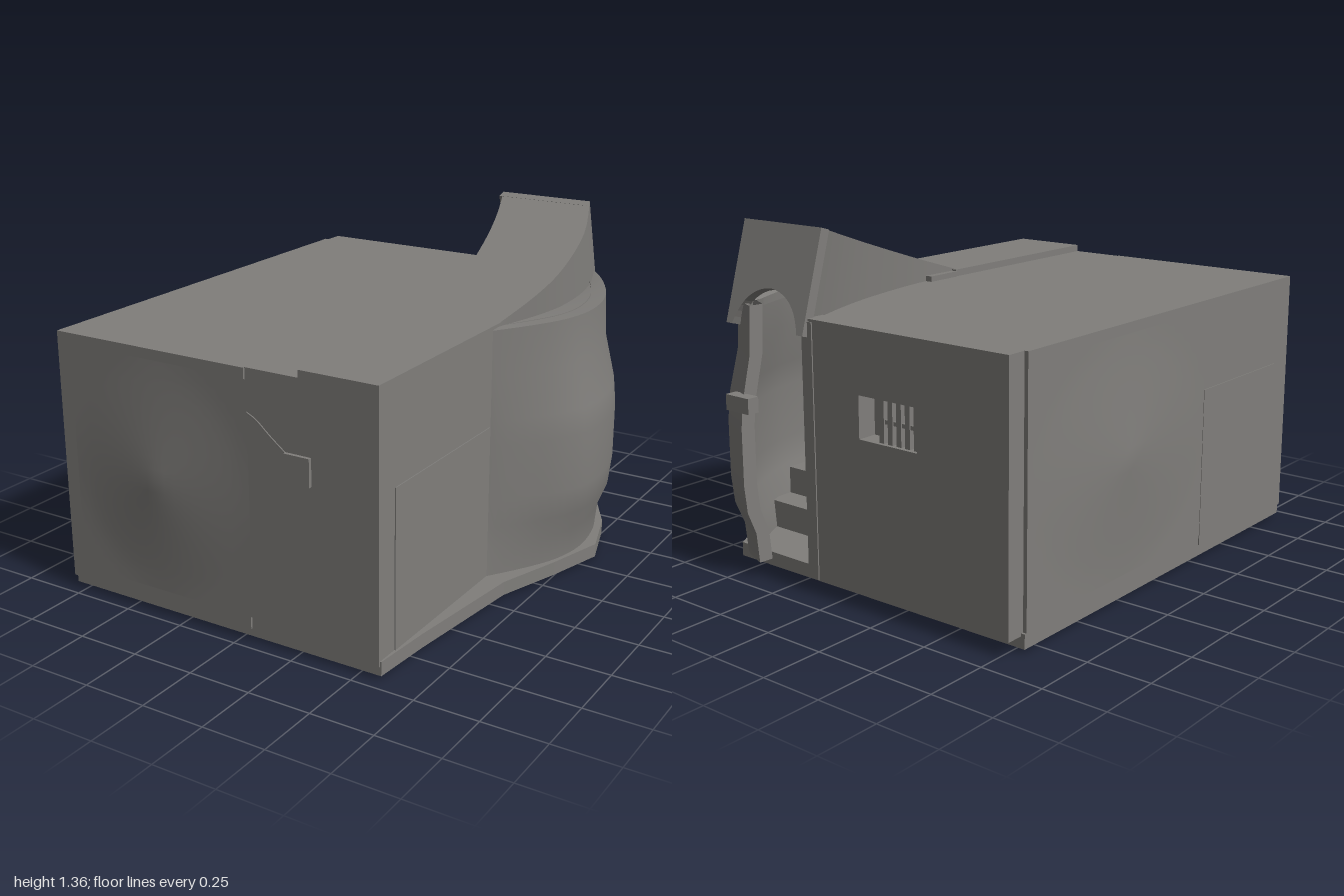
import * as THREE from 'three';

const grey = new THREE.MeshStandardMaterial({ color: 0x807e7b, side: THREE.DoubleSide });
grey.name = 'warm grey';

export function createModel() {
  const model = new THREE.Group();
  const add = (name, geometry) => {
    const mesh = new THREE.Mesh(geometry, grey);
    mesh.name = name;
    model.add(mesh);
    return mesh;
  };
  // Box given by its lower and upper limits
  const box = (name, x0, x1, y0, y1, z0, z1) => {
    const g = new THREE.BoxGeometry(x1 - x0, y1 - y0, z1 - z0);
    g.translate((x0 + x1) / 2, (y0 + y1) / 2, (z0 + z1) / 2);
    return add(name, g);
  };
  // Floor plan of [x, z] points raised from y0 to y1
  const plan = (name, points, y0, y1) => {
    const shape = new THREE.Shape(points.map(([x, z]) => new THREE.Vector2(x, -z)));
    const g = new THREE.ExtrudeGeometry(shape, { depth: y1 - y0, bevelEnabled: false });
    return add(name, g.rotateX(-Math.PI / 2).translate(0, y0, 0));
  };
  // Surface through rows of equally many points
  const loft = (name, rows) => {
    const n = rows[0].length, index = [];
    for (let r = 0; r < rows.length - 1; r++) {
      for (let c = 0; c < n - 1; c++) {
        const a = r * n + c, b = a + n;
        index.push(a, b, a + 1, b, b + 1, a + 1);
      }
    }
    const g = new THREE.BufferGeometry();
    g.setAttribute('position', new THREE.Float32BufferAttribute(rows.flat(2), 3));
    g.setIndex(index);
    g.computeVertexNormals();
    return add(name, g);
  };
  // Smooth x across the passage at each z
  const smooth = (pts) => new THREE.SplineCurve(pts.map(([x, z]) => new THREE.Vector2(x, z)));
  const leftEdge = smooth([[0.29, 0.1], [0.29, -0.12], [0.245, -0.4], [0.19, -0.62], [0.12, -0.82]]);
  const rightEdge = smooth([[0.585, 0.1], [0.63, -0.1], [0.645, -0.3], [0.61, -0.57], [0.52, -0.82]]);
  const STEPS = 16;

  // Main body, with its right rear cut back along the passage
  const cut = leftEdge.getPoints(STEPS).map((p) => [p.x, p.y]);
  plan('body', [[-0.8, 0.96], [0.05, 0.96], [0.05, 0.952], [0.585, 0.952], [0.585, 0.16],
    ...cut, [-0.8, -0.82]], 0.05, 1.04);
  box('roofStrip', 0.27, 0.585, 1.035, 1.068, 0.09, 0.952);
  box('roofTab', 0.265, 0.295, 1.035, 1.062, -0.07, 0.09);

  // Rear wall with vent opening
  const rear = new THREE.Shape();
  rear.moveTo(-0.785, 0.06).lineTo(0.13, 0.06).lineTo(0.13, 1.04).lineTo(-0.785, 1.04);
  const opening = new THREE.Path();
  opening.moveTo(-0.39, 0.64).lineTo(-0.39, 0.8).lineTo(-0.12, 0.8).lineTo(-0.12, 0.64);
  rear.holes.push(opening);
  add('rearWall', new THREE.ExtrudeGeometry(rear, { depth: 0.085, bevelEnabled: false }).translate(0, 0, -0.9));
  for (let i = 0; i < 5; i++) {
    const x = -0.385 + i * 0.04;
    box('ventBar', x, x + 0.022, 0.64, 0.8, -0.885, -0.86);
  }
  box('ventRail', -0.39, -0.2, 0.71, 0.725, -0.88, -0.865);
  box('rearPost', 0.1, 0.15, 0.06, 1.03, -0.905, -0.8);

  // Base slab
  plan('base', [[-0.8, 0.945], [0.59, 0.945], [0.61, 0.7], [0.67, 0.18], [0.76, -0.08], [0.83, -0.32],
    [0.76, -0.55], [0.6, -0.83], [-0.8, -0.83]], 0.015, 0.07);

  // Shallow bulges on the front, left side and underside
  const bulge = (name, w, h, height, power) => {
    const g = new THREE.PlaneGeometry(w, h, 20, 20);
    const p = g.attributes.position;
    for (let i = 0; i < p.count; i++) {
      const r = Math.hypot(p.getX(i) / w, p.getY(i) / h) * 2;
      p.setZ(i, height * Math.pow(Math.max(0, 1 - r), power));
    }
    g.computeVertexNormals();
    return add(name, g);
  };
  bulge('frontBulge', 0.8, 0.9, 0.031, 1.3).position.set(-0.34, 0.55, 0.961);
  const side = bulge('leftBulge', 1.1, 0.9, 0.03, 1.3);
  side.rotation.y = -Math.PI / 2;
  side.position.set(-0.802, 0.55, -0.25);
  const under = bulge('undersideBulge', 1.2, 1.5, 0.014, 1);
  under.rotation.x = Math.PI / 2;
  under.position.set(-0.15, 0.014, 0.05);

  // Door panels
  box('rightDoor', 0.583, 0.589, 0.07, 0.68, 0.17, 0.85);
  box('leftDoor', -0.804, -0.798, 0.06, 0.69, 0.29, 0.85);

  // Front control box and its cable
  box('controlBox', 0.213, 0.318, 0.66, 0.765, 0.95, 0.966);
  const cable = new THREE.CatmullRomCurve3([[0.05, 0.88], [0.09, 0.86], [0.15, 0.81], [0.215, 0.76]]
    .map(([x, y]) => new THREE.Vector3(x, y, 0.953)));
  add('cable', new THREE.TubeGeometry(cable, 12, 0.003, 6));

  // Bowed outer wall round the passage
  const path = smooth([[0.59, 0.17], [0.68, 0.03], [0.75, -0.11], [0.78, -0.26], [0.765, -0.42],
    [0.72, -0.56], [0.63, -0.73], [0.53, -0.86], [0.4, -0.92]]).getPoints(32);
  const profile = [[0.06, 0], [0.18, 0.012], [0.27, 0.048], [0.38, 0.06], [0.6, 0.06], [0.7, 0.05], [0.87, 0.01], [1.055, 0]];
  const wallPoint = (p, i, y, out) => {
    const dx = p.x - 0.36, dz = p.y + 0.35, len = Math.hypot(dx, dz);
    return [p.x + (dx / len) * out, y, p.y + (dz / len) * out];
  };
  const wallRows = (thickness) => path.map((p, i) => {
    const ease = Math.min(1, i / 10);
    return profile.map(([y, out]) => wallPoint(p, i, y, out * ease - thickness));
  });
  const outer = wallRows(0), inner = wallRows(0.06);
  loft('outerWall', outer);
  loft('outerWallLining', inner);
  loft('outerWallEnd', [outer[32], inner[32]]);
  loft('outerWallFoot', [outer.map((r) => r[0]), inner.map((r) => r[0])]);

  // Ledge between the outer wall and the hood
  const last = profile.length - 1;
  loft('ledge', [outer.map((r) => r[last]), outer.map((r, i) => {
    const q = rightEdge.getPoint(i / 32);
    return [q.x - 0.01, 1.055 - 0.02 * (i / 32), q.y];
  })]);

  // Rising curved hood, open underneath
  const top = [], left = [], right = [];
  for (let i = 0; i <= STEPS; i++) {
    const t = i / STEPS, l = leftEdge.getPoint(t), r = rightEdge.getPoint(t);
    const height = (z) => 1.07 + 0.285 * (0.1 - z) / 0.92;
    const drop = 0.11 * t, low = 1.04 - 0.06 * t;
    const a = [l.x, height(l.y), l.y], b = [r.x, height(r.y), r.y];
    top.push([a, b]);
    left.push([a, [l.x, low, l.y - drop]]);
    right.push([b, [r.x, low, r.y - drop]]);
  }
  loft('hoodTop', top);
  loft('hoodLeftSide', left);
  loft('hoodRightSide', right);

  // Tilted hood end with an arched lower edge
  const end = new THREE.Shape();
  end.moveTo(0.12, 0).lineTo(0.12, -0.39).lineTo(0.15, -0.39);
  end.quadraticCurveTo(0.19, -0.25, 0.32, -0.24);
  end.quadraticCurveTo(0.45, -0.25, 0.49, -0.39);
  end.lineTo(0.52, -0.39).lineTo(0.52, 0);
  const hoodEnd = add('hoodEnd', new THREE.ExtrudeGeometry(end, { depth: 0.04, bevelEnabled: false, curveSegments: 10 }));
  hoodEnd.position.set(0, 1.355, -0.82);
  hoodEnd.rotation.x = 0.285;

  // Steps inside the passage and the handle at its entrance
  for (let i = 0; i < 6; i++) {
    const z = -0.62 + i * 0.11;
    box('step', 0.24, 0.66, 0.07, 0.18 + i * 0.11, z, z + 0.11);
  }
  box('handle', 0.34, 0.46, 0.67, 0.73, -1, -0.95);

  return model;
}
